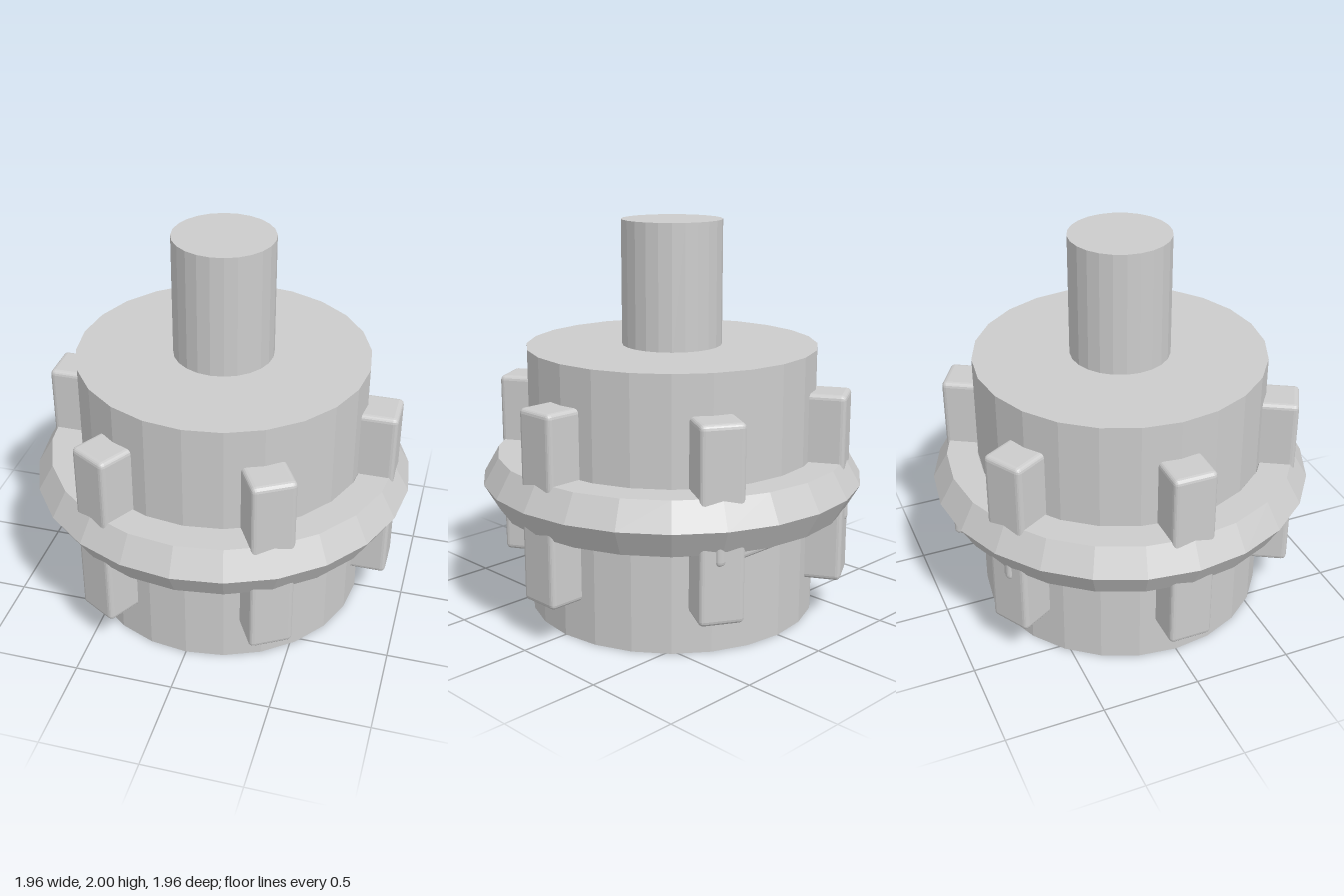
import * as THREE from 'three';
import { RoundedBoxGeometry } from 'three/addons/geometries/RoundedBoxGeometry.js';

export function createModel() {
  const model = new THREE.Group();
  model.name = 'luggedDrum';

  const grey = new THREE.MeshStandardMaterial({ color: 0xcccccc, flatShading: true });
  grey.name = 'plain grey';

  const SIDES = 24;
  function add(name, geometry, x = 0, y = 0, z = 0, parent = model) {
    const mesh = new THREE.Mesh(geometry, grey);
    mesh.name = name;
    mesh.position.set(x, y, z);
    parent.add(mesh);
    return mesh;
  }

  // Main drum and the shaft standing on it
  add('drum', new THREE.CylinderGeometry(0.743, 0.743, 1.37, SIDES), 0, 0.685, 0);
  add('shaft', new THREE.CylinderGeometry(0.255, 0.255, 0.7, SIDES), 0, 1.65, 0);

  // Six-sided collar around the drum
  const collar = new THREE.TorusGeometry(0.826, 0.156, 6, SIDES);
  collar.rotateX(Math.PI / 2);
  add('collar', collar, 0, 0.69, 0);

  // Six upright lugs, spaced evenly and crossing the collar
  const lug = new RoundedBoxGeometry(0.31, 0.965, 0.222, 2, 0.025);
  for (let i = 0; i < 6; i++) {
    const arm = new THREE.Group();
    arm.name = 'lugArm';
    arm.rotation.y = (i * Math.PI) / 3;
    add('lug', lug, 0.755, 0.688, 0, arm);
    model.add(arm);
  }

  // Horizontal bar joining the two rear lugs beneath the collar
  add('rearBar', new RoundedBoxGeometry(0.97, 0.222, 0.31, 2, 0.025), 0, 0.607, -0.64);

  return model;
}
